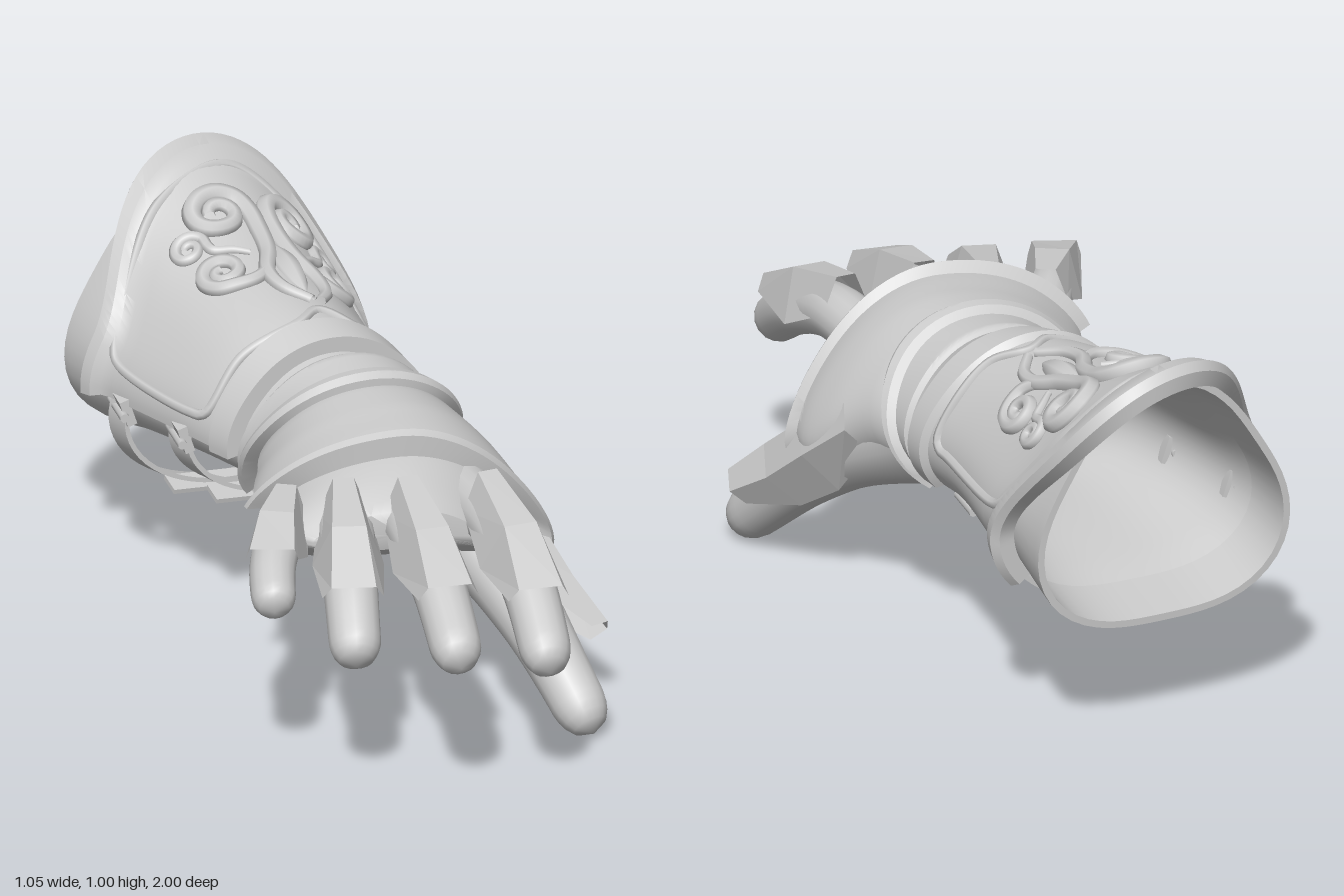
import * as THREE from 'three';
import { mergeVertices, toCreasedNormals } from 'three/addons/utils/BufferGeometryUtils.js';

const { sin, cos, PI, max, min } = Math;
const { smoothstep } = THREE.MathUtils;
const rad = d => d * PI / 180;
const V = (x, y, z) => new THREE.Vector3(x, y, z);
const mat = new THREE.MeshStandardMaterial({ color: 0xcccccc, side: THREE.DoubleSide });
const flat = new THREE.MeshStandardMaterial({ color: 0xcccccc, side: THREE.DoubleSide, flatShading: true });

// Arm sections along z: centre x, centre y, half width, half height
const stations = new THREE.CubicInterpolant(
  [-1, -0.87, -0.6, -0.3, -0.1, 0.05, 0.2, 0.35, 0.46, 0.53],
  [
    -0.18, 0.595, 0.35, 0.32,
    -0.17, 0.585, 0.335, 0.32,
    -0.13, 0.575, 0.30, 0.235,
    -0.07, 0.575, 0.25, 0.192,
    0, 0.56, 0.23, 0.18,
    0.02, 0.55, 0.265, 0.18,
    0.04, 0.55, 0.33, 0.165,
    0.01, 0.565, 0.325, 0.135,
    -0.03, 0.585, 0.28, 0.085,
    -0.03, 0.585, 0.22, 0.05,
  ], 4);

// Point on the arm at an angle, raised by off; sections lean towards the cuff
// and the hand slopes down on the thumb side
function armPoint(a, z, off = 0) {
  const [cx, cy, rx, ry] = stations.evaluate(z);
  const m = 1 + (0.06 + 0.03 * smoothstep(-z, 0.1, 0.6)) * cos(3 * (a - PI / 2));
  const x = cx + (rx * m + off) * cos(a);
  const tilt = max(0, min(0.18, (0.2 - z) * 0.17));
  const slope = 0.9 * smoothstep(z, 0, 0.2) * max(0, x - cx) ** 2;
  return V(x, cy + (ry * m + off) * sin(a) - slope, z - tilt * (x - cx));
}

// Grid surface from a rule fn(i, j)
function grid(nu, nv, fn) {
  const pos = [], idx = [];
  for (let i = 0; i <= nu; i++) for (let j = 0; j <= nv; j++) pos.push(...fn(i, j).toArray());
  for (let i = 0; i < nu; i++) for (let j = 0; j < nv; j++) {
    const a = i * (nv + 1) + j, c = a + nv + 1;
    idx.push(a, a + 1, c, a + 1, c + 1, c);
  }
  const g = new THREE.BufferGeometry();
  g.setAttribute('position', new THREE.Float32BufferAttribute(pos, 3));
  g.setIndex(idx);
  return g;
}

// Armour plate wrapped on the arm, profile = [t from front to back, height]
function shell(d0, d1, zFront, zBack, profile, lift = () => 0, nu = 48) {
  const rows = [profile[0]];
  for (let k = 1; k < profile.length; k++) {
    const [t0, o0] = profile[k - 1], [t1, o1] = profile[k], n = Math.ceil((t1 - t0) / 0.08) || 1;
    for (let s = 1; s <= n; s++) rows.push([t0 + (t1 - t0) * s / n, o0 + (o1 - o0) * s / n]);
  }
  const g = grid(nu + 2, rows.length - 1, (i, j) => {
    const s = max(0, min(1, (i - 1) / nu)), a = rad(d0 + (d1 - d0) * s);
    const [t, o] = rows[j], end = i === 0 || i === nu + 2;
    return armPoint(a, zFront(a) + (zBack(a) - zFront(a)) * t, (end ? 0 : o) + lift(s));
  });
  return toCreasedNormals(g, 0.6);
}

// Tube whose radius follows a rule along its length
function taper(points, radius, seg, sides, closed = false) {
  const curve = new THREE.CatmullRomCurve3(points, closed);
  const g = new THREE.TubeGeometry(curve, seg, 1, sides, closed);
  const p = g.attributes.position, v = V();
  for (let k = 0; k < p.count; k++) {
    const t = Math.floor(k / (sides + 1)) / seg, c = curve.getPointAt(t);
    v.fromBufferAttribute(p, k).sub(c).multiplyScalar(radius(t)).add(c);
    p.setXYZ(k, v.x, v.y, v.z);
  }
  g.deleteAttribute('uv');
  g.deleteAttribute('normal');
  const out = mergeVertices(g, 1e-5);
  out.computeVertexNormals();
  return out;
}
const roundTip = (t, from) => t < from ? 1 : Math.sqrt(max(0, 1 - ((t - from) / (1 - from)) ** 2));

// Faceted digit plate: rows of [t, half width, side drop, ridge half width, ridge height]
function digitPlate(points, up, rows) {
  const curve = new THREE.CatmullRomCurve3(points);
  return grid(rows.length - 1, 3, (i, j) => {
    const [t, w, drop, rw, rh] = rows[i];
    const d = curve.getTangentAt(t), side = d.clone().cross(up).normalize(), u = side.clone().cross(d);
    const [s, h] = [[-w, drop], [-rw, rh], [rw, rh], [w, drop]][j];
    return curve.getPointAt(t).addScaledVector(side, s).addScaledVector(u, h);
  });
}

export function createModel() {
  const group = new THREE.Group();
  const add = (name, geo, material = mat) => {
    const m = new THREE.Mesh(geo, material);
    m.name = name;
    group.add(m);
    return m;
  };

  // Glove: sleeve, wrist and palm in one skin, open at the cuff with a small lip
  const rows = 48;
  const glove = mergeVertices(grid(56, rows + 2, (i, j) => {
    const a = (i % 56) / 56 * 2 * PI;
    if (j === 0) return V(-0.03, 0.58, 0.54);
    if (j > rows) return j === rows + 1 ? armPoint(a, -0.87, -0.018) : armPoint(a, -0.7, -0.002);
    return armPoint(a, 0.53 - 1.4 * (j - 1) / (rows - 1));
  }), 1e-5);
  add('glove', toCreasedNormals(glove, 0.9));

  // Fingers with their faceted guards
  const fingers = {
    little: [V(-0.25, 0.57, 0.33), V(-0.33, 0.585, 0.5), V(-0.38, 0.56, 0.62), V(-0.41, 0.51, 0.75)],
    ring: [V(-0.13, 0.58, 0.33), V(-0.17, 0.585, 0.54), V(-0.205, 0.51, 0.71), V(-0.235, 0.395, 0.87)],
    middle: [V(0, 0.59, 0.35), V(0, 0.59, 0.55), V(0.005, 0.53, 0.75), V(-0.005, 0.42, 1.0)],
    index: [V(0.18, 0.58, 0.35), V(0.21, 0.58, 0.55), V(0.23, 0.51, 0.75), V(0.225, 0.375, 0.99)],
  };
  for (const [name, pts] of Object.entries(fingers)) {
    const r = name === 'little' ? 0.06 : 0.07;
    add(name + 'Finger', taper(pts, t => r * (1.05 - 0.15 * t) * roundTip(t, 0.88), 32, 16));
    add(name + 'FingerGuard', digitPlate(pts, V(0, 1, 0), [
      [0.2, r * 0.9, 0.02, 0.025, r + 0.045],
      [0.46, r * 1.25, -0.03, 0.042, r + 0.035],
      [0.73, r * 1.08, 0.055, 0.055, r + 0.028],
    ]), flat);
  }

  // Thumb and its outer guard
  const thumb = [V(0.13, 0.49, 0.04), V(0.25, 0.385, 0.2), V(0.335, 0.25, 0.36), V(0.395, 0.12, 0.5), V(0.435, 0.02, 0.62)];
  add('thumb', taper(thumb, t => (0.068 + 0.09 * (1 - t) ** 2) * roundTip(t, 0.88), 36, 18));
  add('thumbGuard', digitPlate(thumb, V(1, 0.25, 0), [
    [0.16, 0.07, 0.08, 0.035, 0.17],
    [0.36, 0.115, 0.03, 0.045, 0.14],
    [0.55, 0.1, 0.035, 0.045, 0.135],
    [0.71, 0.055, 0.11, 0.03, 0.155],
  ]), flat);

  // Back-of-hand plate with a flared rim
  add('handPlate', shell(-32, 174, a => 0.29 + 0.075 * max(0, sin(a)), a => -0.03 + 0.06 * sin(a),
    [[0, 0], [0, 0.055], [0.06, 0.06], [0.13, 0.032], [0.55, 0.03], [0.9, 0.02], [1, 0.012], [1, 0]]));

  // Overlapping wrist band with a ridge
  add('wristBand', shell(-45, 215, a => -0.05 + 0.12 * sin(a), a => -0.125 + 0.02 * sin(a),
    [[0, 0], [0, 0.04], [0.12, 0.05], [0.28, 0.045], [0.36, 0.025], [0.9, 0.03], [1, 0.02], [1, 0]]));

  // Forearm plate with a front band and a rolled, peaked back rim
  const backEdge = a => -0.70 - 0.28 * max(0, sin(a + rad(13))) ** 1.7;
  add('forearmPlate', shell(-36, 194, () => -0.15, backEdge,
    [[0, 0], [0, 0.04], [0.1, 0.045], [0.12, 0.028], [0.82, 0.028], [0.88, 0.035],
      [0.91, 0.055], [0.97, 0.06], [1, 0.04], [1, 0]], undefined, 64));

  // Raised border around the forearm panel, notched at the front
  const border = [[78, -0.3], [62, -0.25], [35, -0.25], [2, -0.25], [-4, -0.27], [-5, -0.31], [-2, -0.61], [2, -0.65], [20, -0.71],
    [50, -0.81], [78, -0.865], [110, -0.8], [150, -0.68], [170, -0.63], [175, -0.6], [178, -0.3], [174, -0.25], [130, -0.25], [95, -0.25]];
  add('panelBorder', taper(border.map(([d, z]) => armPoint(rad(d), z, 0.026)), () => 0.014, 180, 6, true));

  // Scrollwork: mirrored stems, each ending in a spiral; u across, b towards the cuff
  const scrolls = [
    { lead: [[0.012, 0.34], [0.06, 0.40], [0.065, 0.47], [0.03, 0.56], [0.02, 0.64]], c: [0.09, 0.70], r: 0.068, a: 180, turn: -1, w: 0.024 },
    { lead: [[0.035, 0.57], [0.06, 0.49], [0.1, 0.455]], c: [0.155, 0.515], r: 0.058, a: -90, turn: 1, w: 0.019 },
    { lead: [[0.07, 0.56], [0.1, 0.58], [0.14, 0.6]], c: [0.185, 0.635], r: 0.042, a: 200, turn: -1, w: 0.015 },
  ];
  for (const side of [-1, 1]) for (const { lead, c, r, a, turn, w } of scrolls) {
    const pts = [...lead];
    for (let k = 0; k <= 14; k++) {
      const q = rad(a) + turn * k / 14 * 3 * PI, rr = r * (1 - 0.75 * k / 14);
      pts.push([c[0] + rr * cos(q), c[1] + rr * sin(q)]);
    }
    const path = pts.map(([u, b]) => armPoint(rad(75) - side * u / 0.31, -b, 0.032));
    add('scroll', taper(path, t => w * (0.35 + 0.75 * sin(PI * (0.1 + 0.75 * t))), 80, 7));
  }
  // Leaf in the middle of the scrollwork
  add('scrollLeaf', taper([0.38, 0.46, 0.54, 0.62].map(b => armPoint(rad(75), -b, 0.02)),
    t => 0.035 * sin(PI * t) + 0.001, 24, 8));

  // Straps under the forearm, with buckles, loose ends and side clips
  for (const [z, sag] of [[-0.34, 0.05], [-0.57, 0.095]]) {
    const lift = s => 0.008 + sag * sin(PI * s);
    add('strap', shell(192, 328, () => z + 0.035, () => z - 0.035,
      [[0, 0], [0, 0.012], [1, 0.012], [1, 0], [0, 0]], lift, 32));
    const place = (mesh, d, off) => {
      mesh.position.copy(armPoint(rad(d), z, off));
      mesh.rotation.z = rad(d - 90);
    };
    const frame = new THREE.TorusGeometry(0.072, 0.013, 6, 4).rotateZ(PI / 4).rotateX(PI / 2);
    place(add('buckle', frame, flat), 280, sag + 0.022);
    place(add('bucklePin', new THREE.BoxGeometry(0.1, 0.012, 0.014)), 280, sag + 0.03);
    const tongue = add('strapEnd', new THREE.BoxGeometry(0.2, 0.012, 0.065));
    tongue.position.copy(armPoint(rad(270), z, sag + 0.02)).add(V(-0.1, 0.005, 0.02));
    tongue.rotation.set(0.2, 0.12, -0.1);
    for (const d of [326, 198]) {
      place(add('strapClip', new THREE.BoxGeometry(0.07, 0.025, 0.09)), d, 0.016);
      place(add('clipPin', new THREE.CylinderGeometry(0.012, 0.012, 0.12, 8).rotateX(PI / 2)), d, 0.03);
    }
  }
  return group;
}
